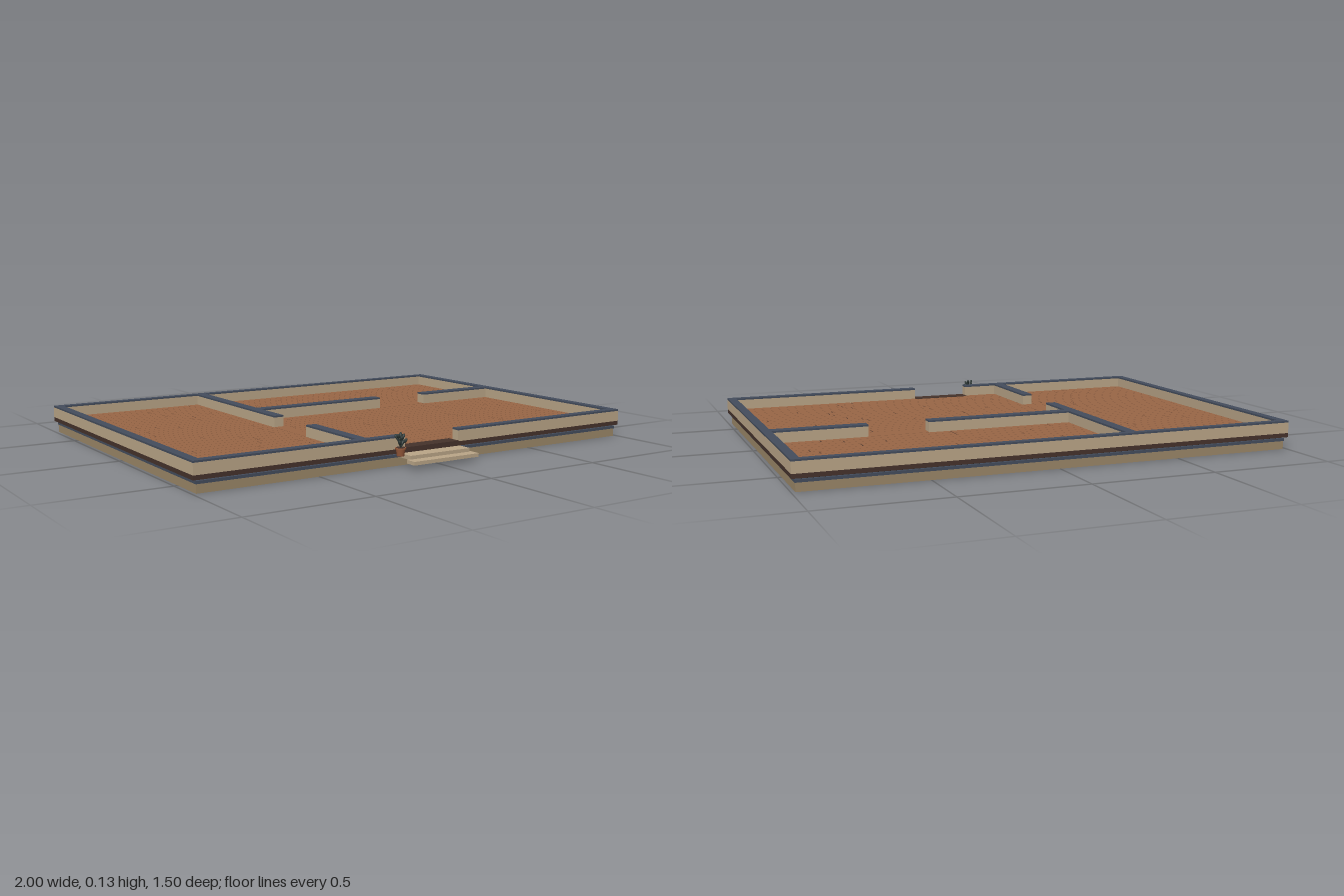
import * as THREE from 'three';

const mat = (name, color) => {
  const m = new THREE.MeshStandardMaterial({ color });
  m.name = name;
  return m;
};

export function createModel() {
  const root = new THREE.Group();
  root.name = 'floorPlan';

  const plaster = mat('plaster', 0xbaa587);
  const slate = mat('slateBlue', 0x434c5c);
  const wood = mat('floorWood', 0x986646);
  const darkWood = mat('darkWood', 0x45322b);
  const stone = mat('foundationStone', 0x9a8667);
  const shadowGap = mat('blackJoists', 0x1f1c1c);
  const terracotta = mat('terracotta', 0x94583a);
  const leafMat = mat('leaf', 0x2f3a38);

  // Box given by its limits on each axis
  const box = (name, m, x0, x1, y0, y1, z0, z1, parent = root) => {
    const mesh = new THREE.Mesh(new THREE.BoxGeometry(x1 - x0, y1 - y0, z1 - z0), m);
    mesh.position.set((x0 + x1) / 2, (y0 + y1) / 2, (z0 + z1) / 2);
    mesh.name = name;
    parent.add(mesh);
    return mesh;
  };

  // Foundation, its cap and the floor slab
  box('foundation', stone, -0.985, 0.985, 0, 0.033, -0.74, 0.645);
  box('foundationCap', slate, -0.987, 0.987, 0.033, 0.044, -0.742, 0.647);
  box('joistLayer', shadowGap, -0.975, 0.975, 0.044, 0.049, -0.73, 0.635);
  box('floorSlab', darkWood, -1, 1, 0.049, 0.066, -0.75, 0.655);

  // Joist ends showing under the slab on both sides
  for (let i = 0; i < 32; i++) {
    const z = -0.715 + i * 0.042;
    box('joist', darkWood, -0.985, 0.985, 0.044, 0.049, z, z + 0.032);
  }

  // Floorboards in staggered rows with dark gaps between them
  let seed = 17;
  const rand = () => (seed = (seed * 16807) % 2147483647) / 2147483647;
  const boards = new THREE.Group();
  boards.name = 'floorboards';
  root.add(boards);
  const rows = 32, z0 = -0.72, pitch = 1.34 / rows;
  for (let r = 0; r < rows; r++) {
    const z = z0 + r * pitch;
    let x = -0.966, length = 0.1 + rand() * 0.5;
    while (x < 0.966) {
      let end = x + length;
      if (end > 0.9) end = 0.966;
      box('floorboard', wood, x, end - 0.005, 0.066, 0.068, z + 0.0013, z + pitch - 0.0013, boards);
      x = end;
      length = 0.42 + rand() * 0.3;
    }
  }

  // Low cut walls with slate tops: [name, x0, x1, z0, z1]
  const walls = [
    ['backWall', -1, 1, -0.75, -0.72],
    ['leftWall', 0.965, 1, -0.72, 0.62],
    ['rightWall', -1, -0.965, -0.72, 0.62],
    ['frontWallRight', -1, -0.13, 0.62, 0.655],
    ['frontWallLeft', 0.125, 1, 0.62, 0.655],
    ['longDividerBack', -0.325, -0.282, -0.72, 0.01],
    ['longDividerFront', -0.325, -0.282, 0.265, 0.62],
    ['crossDividerInner', -0.282, 0.335, -0.22, -0.175],
    ['crossDividerOuter', 0.585, 0.965, -0.22, -0.175],
  ];
  for (const [name, xa, xb, za, zb] of walls) {
    box(name, plaster, xa, xb, 0.066, 0.109, za, zb);
    box(name + 'Top', slate, xa, xb, 0.109, 0.116, za, zb);
  }

  // Plain boards across the inner doorways
  box('longDoorSill', wood, -0.325, -0.282, 0.066, 0.069, 0.01, 0.265);
  box('crossDoorSill', wood, 0.335, 0.585, 0.066, 0.069, -0.22, -0.175);

  // Entrance threshold and steps
  box('threshold', darkWood, -0.13, 0.125, 0.06, 0.07, 0.6, 0.66);
  box('upperStep', plaster, -0.142, 0.14, 0.031, 0.047, 0.645, 0.708);
  box('lowerStep', plaster, -0.155, 0.15, 0.019, 0.033, 0.703, 0.75);

  // Potted plant beside the door
  const plant = new THREE.Group();
  plant.name = 'pottedPlant';
  plant.position.set(-0.168, 0.045, 0.681);
  root.add(plant);
  const part = (name, geo, m, x, y, z) => {
    const mesh = new THREE.Mesh(geo, m);
    mesh.name = name;
    mesh.position.set(x, y, z);
    plant.add(mesh);
    return mesh;
  };
  part('pot', new THREE.CylinderGeometry(0.018, 0.014, 0.028, 12), terracotta, 0, 0.014, 0);
  part('potRim', new THREE.CylinderGeometry(0.021, 0.021, 0.006, 12), terracotta, 0, 0.029, 0);
  part('soil', new THREE.CylinderGeometry(0.017, 0.017, 0.001, 12), darkWood, 0, 0.0325, 0);
  const leafGeo = new THREE.SphereGeometry(1, 8, 6);
  for (let i = 0; i < 11; i++) {
    const a = i * 2.4, radius = i === 10 ? 0 : 0.009 + 0.009 * (i % 2);
    const tip = new THREE.Vector3(Math.cos(a) * radius, 0.05 + (i / 10) * 0.03, Math.sin(a) * radius);
    const stem = new THREE.LineCurve3(new THREE.Vector3(0, 0.03, 0), tip);
    part('stem', new THREE.TubeGeometry(stem, 1, 0.0012, 5), leafMat, 0, 0, 0);
    const leaf = part('leaf', leafGeo, leafMat, tip.x, tip.y, tip.z);
    leaf.scale.set(0.006, 0.011, 0.0065);
    leaf.rotation.set(Math.sin(a) * 0.6, 0, -Math.cos(a) * 0.6);
  }
  return root;
}
